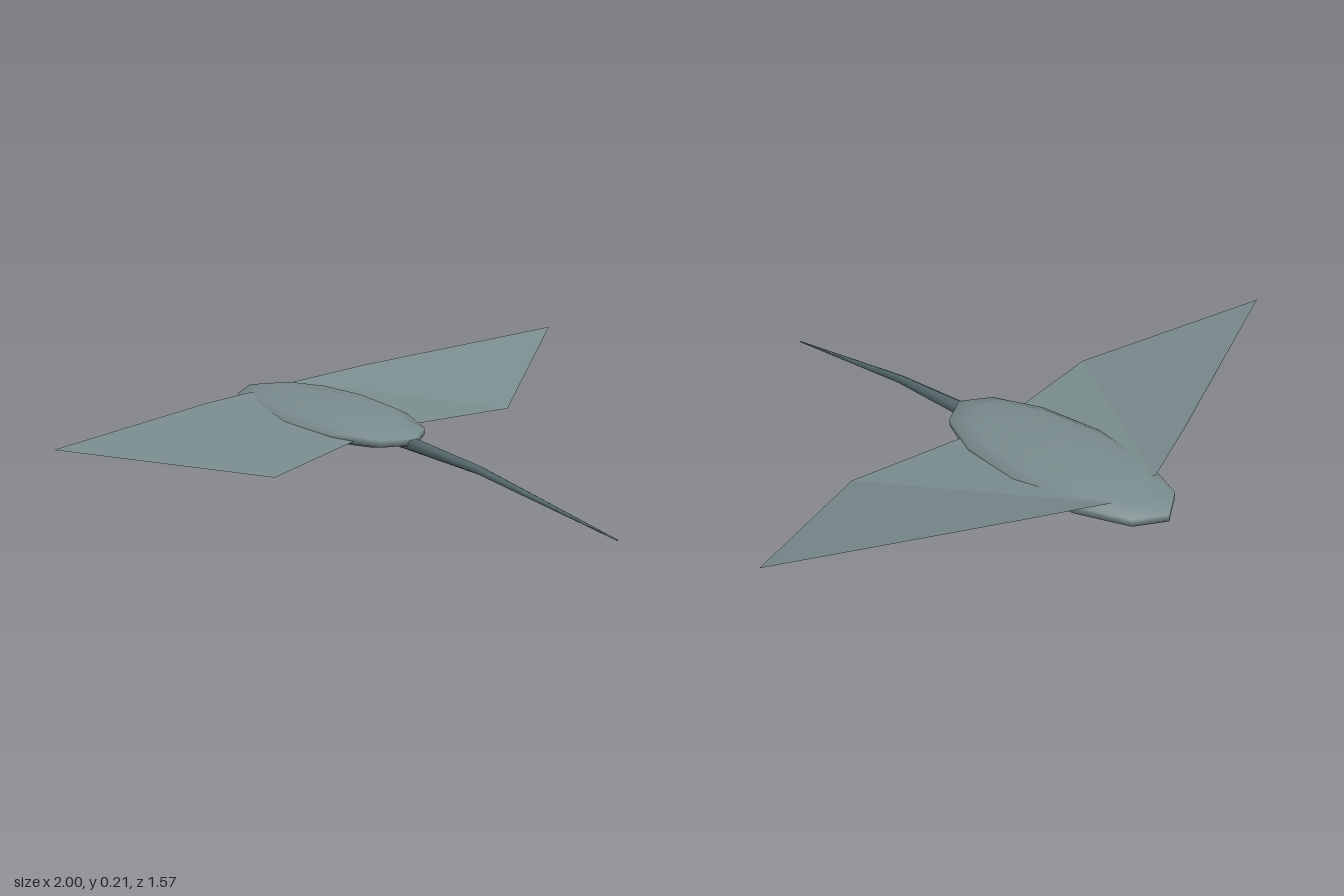
import * as THREE from 'three';

const skin = new THREE.MeshStandardMaterial({ color: 0x7a8c8e });
const finSkin = new THREE.MeshStandardMaterial({ color: 0x7a8c8e, flatShading: true, side: THREE.DoubleSide });
const tailSkin = new THREE.MeshStandardMaterial({ color: 0x566a6d });

function add(group, name, geometry, material) {
  const mesh = new THREE.Mesh(geometry, material);
  mesh.name = name;
  group.add(mesh);
  return mesh;
}

// Thin swept fin: a fan of facets from the front of the root
function finGeometry(side) {
  const outline = [
    [0.09, 0.122, -0.66], // front root
    [0.33, 0.15, -0.58],  // leading edge bend
    [1.0, 0.215, -0.33],  // tip
    [0.48, 0.08, -0.05],  // trailing corner
    [0.08, 0.092, -0.124], // rear root
  ].map(([x, y, z]) => [x * side, y, z]);
  const points = [];
  for (let i = 1; i < outline.length - 1; i++) {
    const [b, c] = side > 0 ? [i + 1, i] : [i, i + 1];
    points.push(...outline[0], ...outline[b], ...outline[c]);
  }
  const g = new THREE.BufferGeometry();
  g.setAttribute('position', new THREE.Float32BufferAttribute(points, 3));
  g.computeVertexNormals();
  return g;
}

// Tapering tail: a tube whose rings follow three stations
function tailGeometry() {
  const stations = [ // z, centre height, radius
    [-0.06, 0.085, 0.025],
    [0.28, 0.07, 0.014],
    [0.787, 0.003, 0.002],
  ];
  const g = new THREE.CylinderGeometry(1, 1, 2, 6, 2);
  g.rotateX(Math.PI / 2);
  const p = g.attributes.position;
  for (let i = 0; i < p.count; i++) {
    const [z, y, r] = stations[Math.round(p.getZ(i)) + 1];
    p.setXYZ(i, p.getX(i) * r, y + p.getY(i) * r, z);
  }
  g.computeVertexNormals();
  return g;
}

export function createModel() {
  const model = new THREE.Group();
  model.name = 'ray';

  // Flattened body
  const body = add(model, 'body', new THREE.SphereGeometry(1, 12, 7), skin);
  body.scale.set(0.184, 0.05, 0.413);
  body.position.set(0, 0.093, -0.383);

  // Pair of fins
  add(model, 'leftFin', finGeometry(1), finSkin);
  add(model, 'rightFin', finGeometry(-1), finSkin);

  add(model, 'tail', tailGeometry(), tailSkin);
  return model;
}
